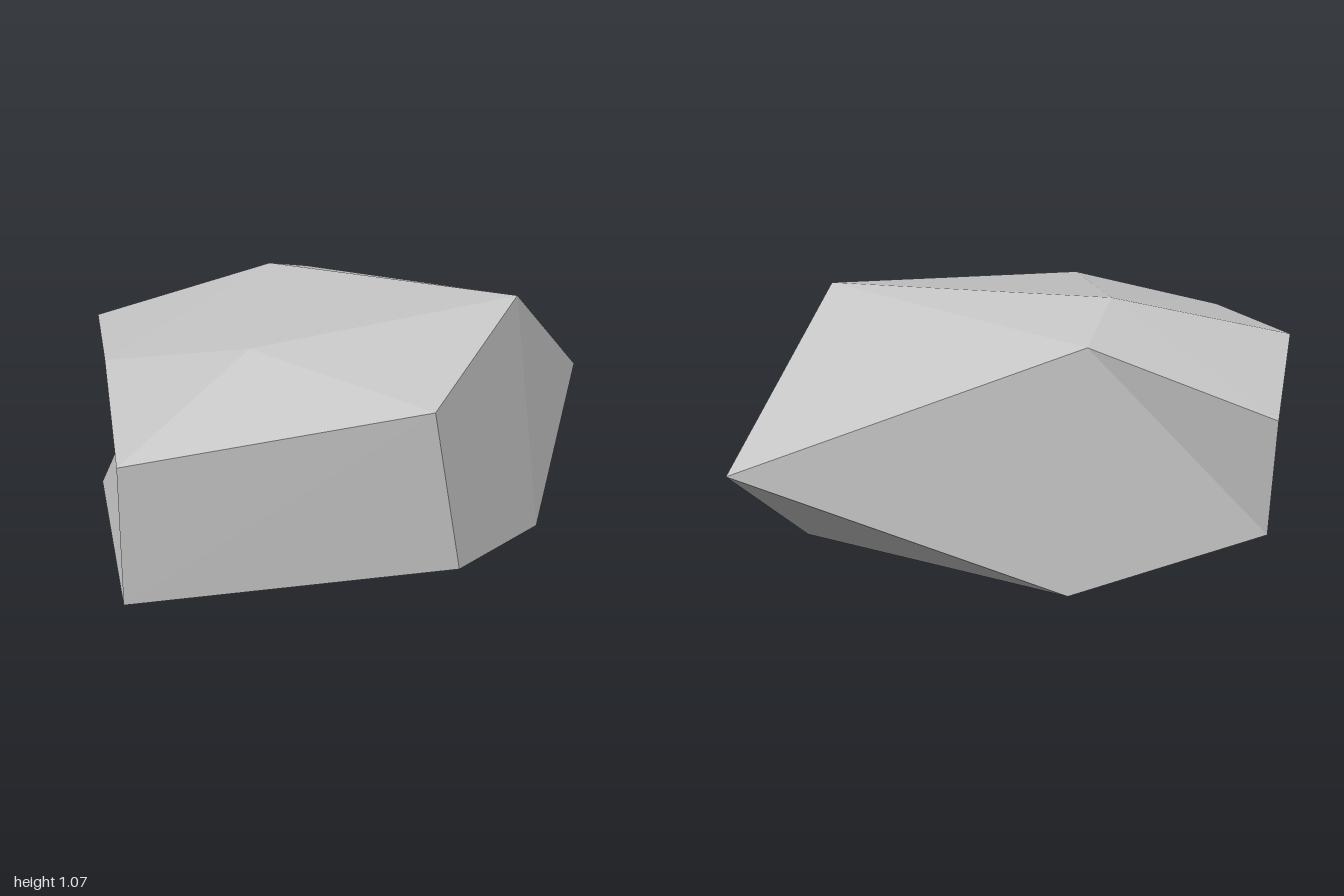
import * as THREE from 'three';

// Corner points of the boulder
const P = {
  // front face
  A: [-0.705, 0.73, 0.828], B: [0.325, 0.84, 0.60], C: [0.432, 0.21, 0.535], D: [-0.725, 0.203, 0.80],
  // +x side
  E: [0.655, 1.055, -0.05], F: [1.00, 0.56, -0.682], G: [0.793, 0.065, -0.09],
  // underside tip, then the -x side with its notch J
  H: [-0.50, 0.00, 0.02], I: [-0.985, 0.242, -0.09], J: [-0.795, 0.64, -0.08],
  K: [-1.00, 0.885, -0.31], L: [-0.865, 0.873, 0.20],
  // top ridge
  M: [-0.315, 0.98, 0.37], N: [-0.31, 1.07, -0.44],
  // back face
  O: [-0.18, 0.98, -0.735], P: [-0.80, 0.74, -0.828], Q: [-0.13, 0.09, -0.74], R: [-0.815, 0.30, -0.76],
};

// Each string is a fan: first letter is the hub, the rest run counter-clockwise seen from outside
const FANS = [
  'MABE', 'MENLA', 'NEOPKL',  // top
  'DCBA',                     // front
  'EBCGFO',                   // +x side and upper back
  'FGQO', 'OQRP',             // back
  'HDIRQGCD',                 // underside
  'JIDALKPRI',                // notched -x side
];

function facetedGeometry(points, fans) {
  const pos = [];
  for (const fan of fans) {
    for (let i = 1; i < fan.length - 1; i++) {
      pos.push(...points[fan[0]], ...points[fan[i]], ...points[fan[i + 1]]);
    }
  }
  const geo = new THREE.BufferGeometry();
  geo.setAttribute('position', new THREE.Float32BufferAttribute(pos, 3));
  geo.computeVertexNormals(); // unshared corners give flat facets
  return geo;
}

export function createModel() {
  const group = new THREE.Group();
  group.name = 'rock';
  const stone = new THREE.MeshStandardMaterial({ color: 0xc3c3c3 });
  stone.name = 'light stone grey';
  const boulder = new THREE.Mesh(facetedGeometry(P, FANS), stone);
  boulder.name = 'boulder';
  group.add(boulder);
  return group;
}
